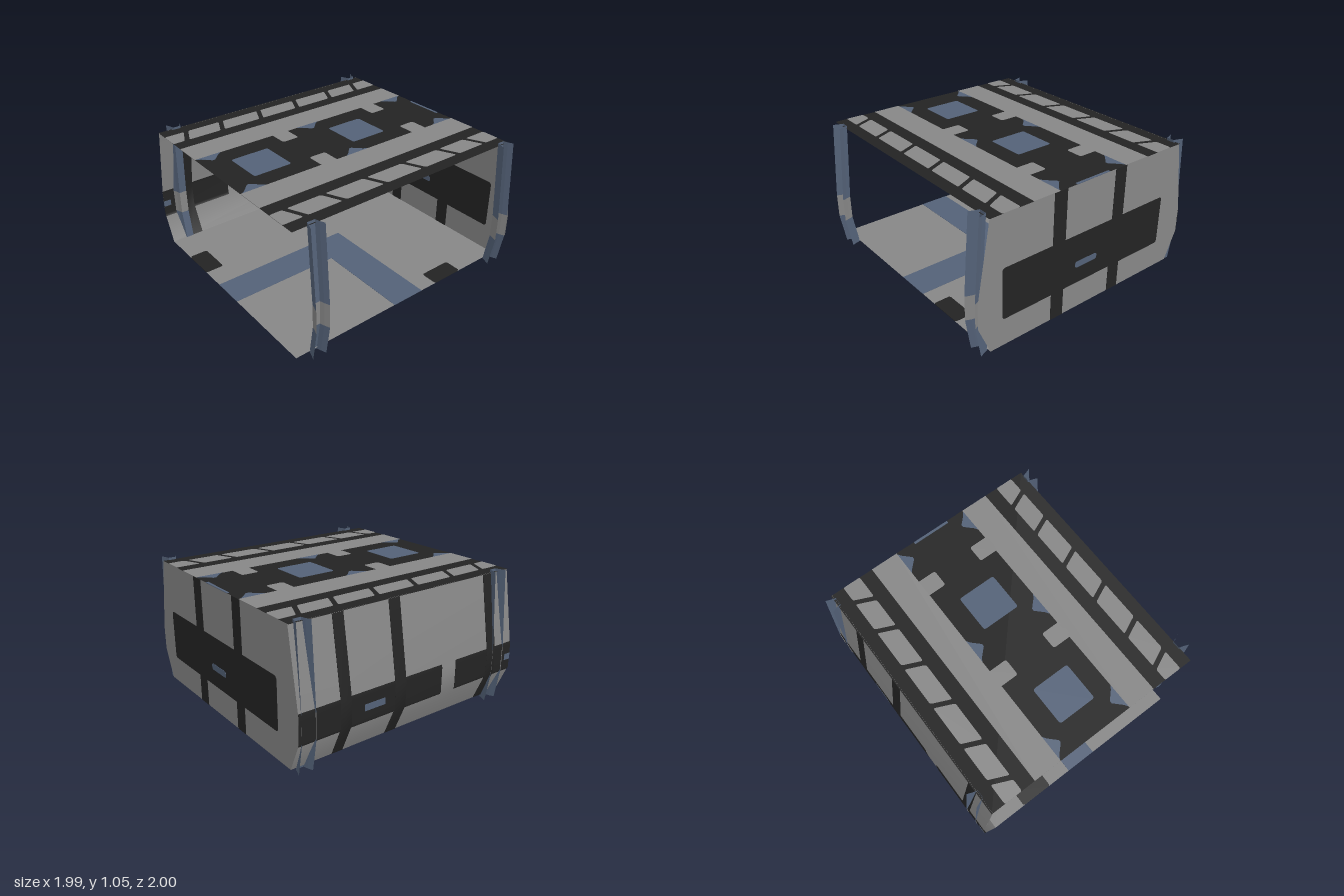
import * as THREE from 'three';

const mat = (name, color) => new THREE.MeshStandardMaterial({ name, color, side: THREE.DoubleSide });

export function createModel() {
  const grey = mat('panel grey', 0x868686);
  const black = mat('trim black', 0x232323);
  const blue = mat('steel blue', 0x536177);
  const room = new THREE.Group();
  room.name = 'roomModule';

  const group = (name) => {
    const g = new THREE.Group();
    g.name = name;
    room.add(g);
    return g;
  };
  const add = (parent, name, geometry, material) => {
    const m = new THREE.Mesh(geometry, material);
    m.name = name;
    parent.add(m);
    return m;
  };

  // Polygon with softened corners
  const polygon = (pts, r = 0) => {
    const v = pts.map(([x, y]) => new THREE.Vector2(x, y));
    if (!r) return new THREE.Shape(v);
    const s = new THREE.Shape();
    v.forEach((p, i) => {
      const toward = (q) => q.clone().sub(p).setLength(r).add(p);
      const a = toward(v[(i + v.length - 1) % v.length]);
      const b = toward(v[(i + 1) % v.length]);
      if (i) s.lineTo(a.x, a.y); else s.moveTo(a.x, a.y);
      s.quadraticCurveTo(p.x, p.y, b.x, b.y);
    });
    s.closePath();
    return s;
  };
  const rect = (x0, x1, y0, y1) => [[x0, y0], [x1, y0], [x1, y1], [x0, y1]];

  // Thin plate centred on its sheet, so that it shows on both sides
  const plate = (parent, name, pts, material, thick = 0, r = 0) => {
    const shape = polygon(pts, r);
    const geo = thick
      ? new THREE.ExtrudeGeometry(shape, { depth: thick, bevelEnabled: false, curveSegments: 4 }).translate(0, 0, -thick / 2)
      : new THREE.ShapeGeometry(shape);
    return add(parent, name, geo, material);
  };
  const LOW = 0.004, HIGH = 0.008;

  // Side profile shared by the left wall and the back wall
  const profile = [[0.89, 0.02], [0.99, 0.25], [0.99, 0.44], [0.89, 1.03]];
  const widthAt = (y) => {
    const i = y <= 0.25 ? 0 : y <= 0.44 ? 1 : 2;
    const [a, b] = [profile[i], profile[i + 1]];
    return a[0] + (b[0] - a[0]) * (y - a[1]) / (b[1] - a[1]);
  };

  // Back wall
  const back = group('backWall');
  back.position.z = -1;
  const mirrored = profile.map(([x, y]) => [-x, y]).reverse();
  plate(back, 'backSheet', [...profile, ...mirrored], grey);
  plate(back, 'backBand', rect(-0.75, 0.79, 0.235, 0.635), black, LOW, 0.025);
  for (const [x0, x1] of [[-0.32, -0.21], [0.245, 0.36]]) {
    plate(back, 'backStripeLower', rect(x0, x1, 0.02, 0.25), black, LOW);
    plate(back, 'backStripeUpper', rect(x0, x1, 0.62, 1.03), black, LOW);
  }
  plate(back, 'backSlot', rect(-0.07, 0.14, 0.365, 0.415), blue, HIGH, 0.02);

  // Left wall in the frame's -x direction: boxes bent to the profile
  const side = group('sideWall');
  const bent = (name, z0, z1, y0, y1, material, thick) => {
    const ys = [y0, ...[0.25, 0.44].filter((y) => y > y0 && y < y1), y1];
    const n = ys.length - 1;
    const geo = new THREE.BoxGeometry(thick, 1, z1 - z0, 1, n, 1);
    const p = geo.attributes.position;
    for (let i = 0; i < p.count; i++) {
      const y = ys[Math.round((p.getY(i) + 0.5) * n)];
      p.setXYZ(i, p.getX(i) - widthAt(y), y, p.getZ(i) + (z0 + z1) / 2);
    }
    geo.computeVertexNormals();
    add(side, name, geo, material);
  };
  bent('sideSheet', -1, 1, 0.02, 1.03, grey, 0.001);
  bent('sideBandFront', 0.39, 1, 0.23, 0.465, black, 0.005);
  bent('sideBandBack', -1, 0.25, 0.23, 0.465, black, 0.005);
  for (const [z0, z1] of [[0.73, 0.82], [-0.2, -0.1], [-0.67, -0.58]])
    bent('sideStripe', z0, z1, 0.02, 1.025, black, 0.006);
  bent('sideSlot', -0.47, -0.29, 0.32, 0.37, blue, 0.009);
  bent('sideSlot', 0.94, 1, 0.32, 0.37, blue, 0.009);

  // Ceiling, drawn in x and -z and then laid flat
  const lay = (g, y) => { g.rotation.x = -Math.PI / 2; g.position.y = y; };
  const flat = (pts) => pts.map(([x, z]) => [x, -z]);
  const ceiling = group('ceiling');
  lay(ceiling, 1.03);
  plate(ceiling, 'ceilingSheet', rect(-0.9, 0.89, -1, 1), black);
  const gaps = [-0.85, -0.56, -0.21, 0.15, 0.51, 0.82];
  for (const s of [-1, 1]) {
    plate(ceiling, 'ceilingStrip', rect(s * 0.31, s * 0.535, -1, 1), grey, LOW);
    for (const z of [-0.63, 0.26])
      plate(ceiling, 'ceilingTab', flat(rect(s * 0.165, s * 0.33, z - 0.07, z + 0.07)), grey, LOW, 0.02);
    for (const z of [-0.89, 0, 0.89])
      plate(ceiling, 'ceilingNotch', flat([[s * 0.31, z - 0.1], [s * 0.29, z - 0.07], [s * 0.23, z - 0.01],
        [s * 0.23, z + 0.01], [s * 0.29, z + 0.07], [s * 0.31, z + 0.1]]), blue, LOW);
    // Row of slanted windows
    for (let i = 0; i <= gaps.length; i++) {
      const a = i ? gaps[i - 1] + 0.02 : -1;
      const b = i < gaps.length ? gaps[i] - 0.02 : 1;
      const a2 = i ? a + 0.065 : -1;
      const b2 = i < gaps.length ? b + 0.065 : 1;
      plate(ceiling, 'ceilingWindow', flat([[s * 0.79, a], [s * 0.645, a2], [s * 0.645, b2], [s * 0.79, b]]), grey, LOW, 0.015);
    }
  }
  for (const [z0, z1] of [[-0.4, -0.09], [0.485, 0.795]])
    plate(ceiling, 'ceilingLight', flat(rect(-0.15, 0.16, z0, z1)), blue, LOW, 0.02);
  plate(ceiling, 'ceilingLightEnd', flat(rect(-0.15, 0.16, -1, -0.98)), blue, LOW);

  // Floor with an L-shaped path and two edge patches
  const floor = group('floor');
  lay(floor, 0.02);
  plate(floor, 'floorSheet', rect(-0.89, 0.89, -1, 1), grey);
  plate(floor, 'floorPath', flat([[-0.13, 1], [-0.13, -0.18], [0.89, -0.18], [0.89, 0.1], [0.13, 0.1], [0.13, 1]]), blue, LOW);
  plate(floor, 'floorPatchFront', flat(rect(-0.6, -0.33, 0.85, 1)), black, LOW, 0.02);
  plate(floor, 'floorPatchSide', flat(rect(0.75, 0.89, -0.6, -0.33)), black, LOW, 0.02);

  // Pillars: flared channels open to the outside, following three slopes
  const section = [[0.075, -0.056], [0.035, -0.04], [0, -0.03], [0, 0.03], [0.035, 0.04], [0.075, 0.056]];
  const stations = [[0.88, 0], [0.922, 0.25], [0.922, 0.44], [0.88, 1.05]];
  const pillarPart = (k, s) => {
    const pos = [];
    const at = (i, j) => [s * (stations[i][0] + section[j][0]), stations[i][1], section[j][1]];
    for (let j = 0; j < section.length - 1; j++) {
      const [a, b, c, d] = [at(k, j), at(k + 1, j), at(k + 1, j + 1), at(k, j + 1)];
      pos.push(...(s > 0 ? [a, b, c, a, c, d] : [a, c, b, a, d, c]).flat());
    }
    const geo = new THREE.BufferGeometry();
    geo.setAttribute('position', new THREE.Float32BufferAttribute(pos, 3));
    geo.computeVertexNormals();
    return geo;
  };
  for (const s of [-1, 1])
    for (const z of [0.85, -0.925]) {
      const pillar = group('pillar');
      pillar.position.z = z;
      ['pillarFoot', 'pillarCollar', 'pillarShaft'].forEach((name, k) =>
        add(pillar, name, pillarPart(k, s), k === 1 ? grey : blue));
    }
  return room;
}
